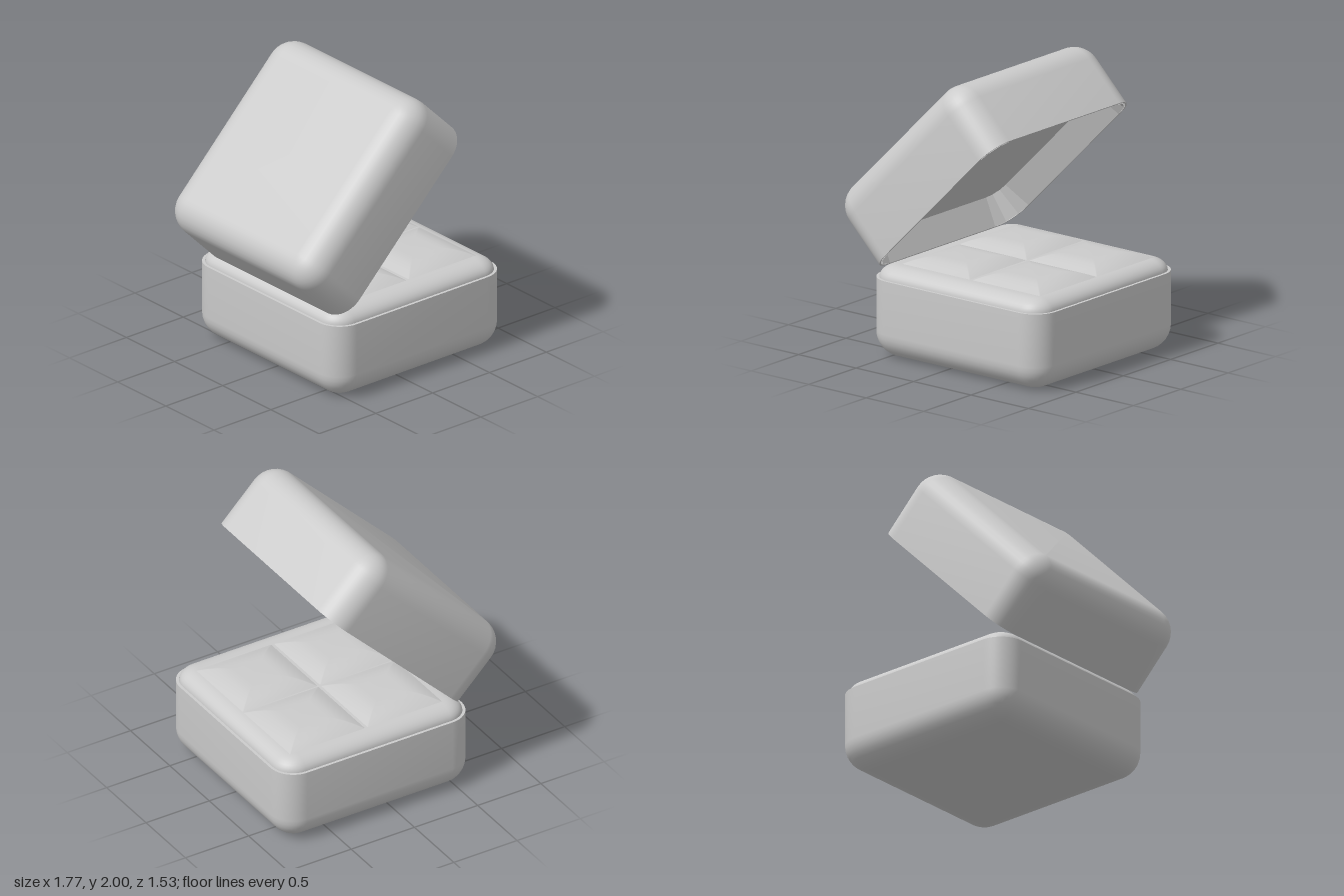
import * as THREE from 'three';
import { toCreasedNormals } from 'three/addons/utils/BufferGeometryUtils.js';

const HALF = 0.755, ROUND = 0.18;

// Square ring with rounded corners at height y
function ring(half, radius, y, segs) {
  const points = [], c = half - radius;
  for (let q = 0; q < 4; q++) {
    const mid = (q + 0.5) * Math.PI / 2;
    const cx = Math.sign(Math.cos(mid)) * c, cz = Math.sign(Math.sin(mid)) * c;
    for (let i = 0; i <= segs; i++) {
      const t = (q + i / segs) * Math.PI / 2;
      points.push([cx + Math.cos(t) * radius, y, cz + Math.sin(t) * radius]);
    }
  }
  return points;
}

// Loft of rounded squares along a profile of [inset, y], with optional end caps
function loft(profile, { half = HALF, radius = ROUND, segs = 10, start = true, end = true, crease = 0.6 } = {}) {
  const positions = [], index = [];
  const n = 4 * (segs + 1);
  for (const [inset, y] of profile) {
    positions.push(...ring(half - inset, Math.max(radius - inset, 0.006), y, segs).flat());
  }
  for (let j = 0; j < profile.length - 1; j++) {
    for (let i = 0; i < n; i++) {
      const a = j * n + i, a2 = j * n + (i + 1) % n, b = a + n, b2 = a2 + n;
      index.push(a, b, a2, a2, b, b2);
    }
  }
  const last = (profile.length - 1) * n;
  for (let i = 1; i < n - 1; i++) {
    if (start) index.push(0, i, i + 1);
    if (end) index.push(last, last + i + 1, last + i);
  }
  const geometry = new THREE.BufferGeometry();
  geometry.setAttribute('position', new THREE.Float32BufferAttribute(positions, 3));
  geometry.setIndex(index);
  return toCreasedNormals(geometry, crease);
}

// Quarter-ellipse profile: side wall turning into a flat top (or the reverse)
function arc(inset0, y0, width, height, steps = 8) {
  return Array.from({ length: steps + 1 }, (_, i) => {
    const t = i / steps * Math.PI / 2;
    return [inset0 + width * (1 - Math.cos(t)), y0 + height * Math.sin(t)];
  });
}

export function createModel() {
  const model = new THREE.Group();
  const material = new THREE.MeshStandardMaterial({ color: 0xcccccc, side: THREE.DoubleSide });
  const add = (parent, name, geometry) => {
    const mesh = new THREE.Mesh(geometry, material);
    mesh.name = name;
    parent.add(mesh);
    return mesh;
  };

  // Lower half: open tray with a rounded underside and a thin rim
  const base = new THREE.Group();
  base.name = 'base';
  base.position.set(0.125, 0, -0.01);
  model.add(base);
  add(base, 'baseShell', loft([
    ...arc(0, ROUND, ROUND, -ROUND).reverse(),
    [0, 0.555], [0.02, 0.555], [0.02, 0.5],
  ], { end: false }));

  // Padded insert filling the tray
  add(base, 'cushion', loft([[0.021, 0.5], ...arc(0.021, 0.55, 0.13, 0.09)], { start: false }));

  // Four mitred pillows on the insert
  const pillowGeometry = loft(
    [[0, 0.635], [0.06, 0.663], [0.11, 0.68], [0.15, 0.687], [0.19, 0.689]],
    { half: 0.305, radius: 0.006, segs: 1, start: false, crease: 0.35 });
  for (const sx of [-1, 1]) {
    for (const sz of [-1, 1]) {
      const pillow = add(base, 'pillow', pillowGeometry);
      pillow.position.set(0.02 + sx * 0.305, 0, -0.015 + sz * 0.3);
    }
  }

  // Lid swung open by 45 degrees; local y = 0 is its opening
  const lid = new THREE.Group();
  lid.name = 'lid';
  lid.position.set(-0.037, 1.15, 0.01);
  lid.rotation.z = Math.PI / 4;
  model.add(lid);
  add(lid, 'lidShell', loft(
    [[0.012, 0], [0, 0], ...arc(0, 0.55 - ROUND, ROUND, ROUND)], { start: false }));

  // Tapered, faceted recess inside the lid
  add(lid, 'lidLining', loft([[0.09, 0.19], [0.012, 0]],
    { radius: 0.2, segs: 3, end: false, crease: 0.2 }));

  return model;
}
